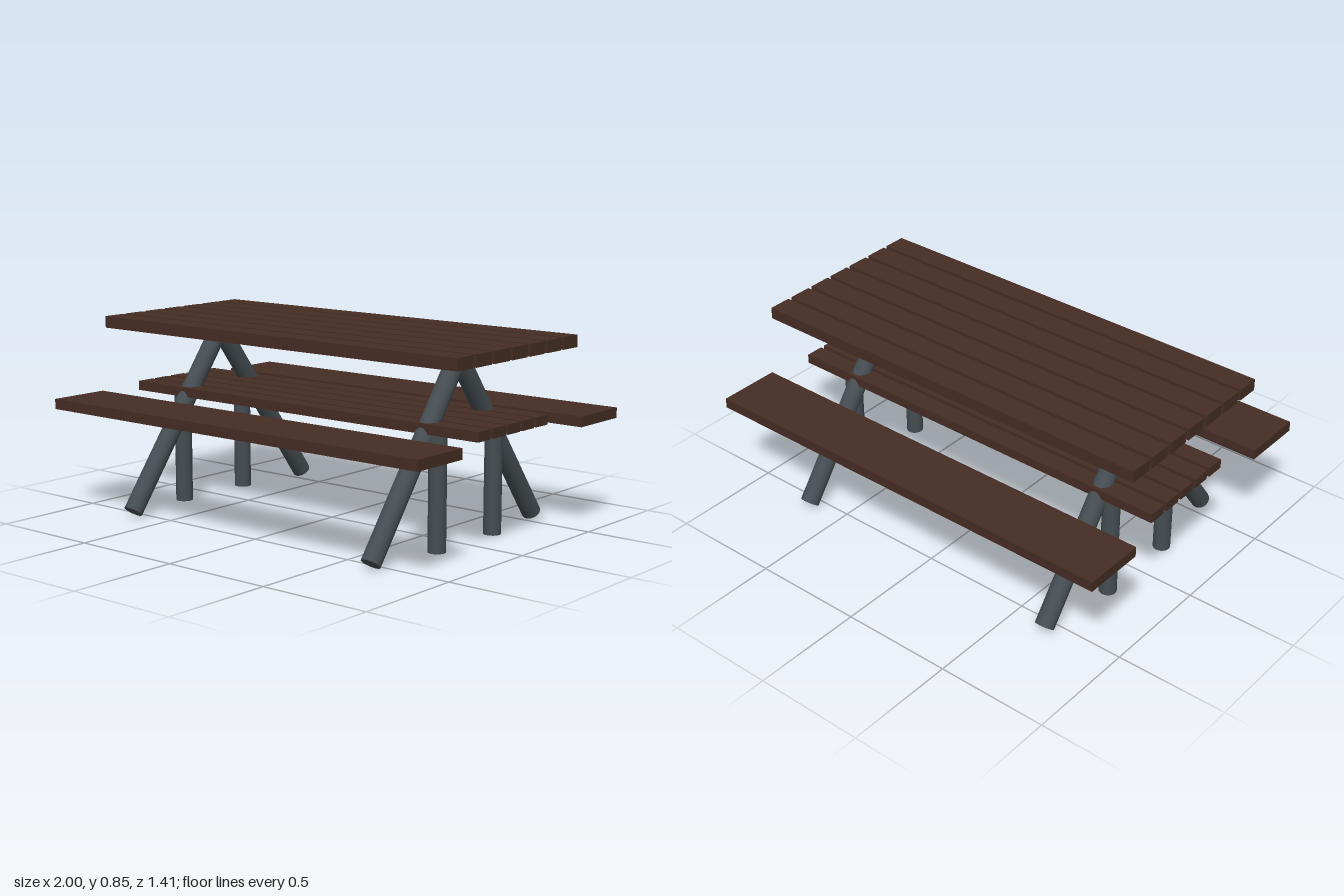
import * as THREE from 'three';

export function createModel() {
  const group = new THREE.Group();
  const wood = new THREE.MeshStandardMaterial({ color: 0x452d23 });
  wood.name = 'dark brown wood';
  const steel = new THREE.MeshStandardMaterial({ color: 0x454d52 });
  steel.name = 'grey metal';

  // Plank running along x
  function plank(name, length, height, depth, y, z) {
    const mesh = new THREE.Mesh(new THREE.BoxGeometry(length, height, depth), wood);
    mesh.name = name;
    mesh.position.set(0, y, z);
    group.add(mesh);
  }

  // Round post between two points
  function post(name, radius, from, to) {
    const axis = to.clone().sub(from);
    const mesh = new THREE.Mesh(new THREE.CylinderGeometry(radius, radius, axis.length(), 24), steel);
    mesh.name = name;
    mesh.position.copy(from).add(to).multiplyScalar(0.5);
    mesh.quaternion.setFromUnitVectors(new THREE.Vector3(0, 1, 0), axis.normalize());
    group.add(mesh);
  }

  // Table top slats
  for (let i = -3; i <= 3; i++) plank('tableSlat', 1.94, 0.052, 0.104, 0.826, i * 0.123);

  // Lower shelf slats
  for (let i = -2; i <= 2; i++) plank('shelfSlat', 1.895, 0.042, 0.083, 0.518, i * 0.102);

  for (const sz of [-1, 1]) {
    // Bench seats
    plank('benchSeat', 2, 0.045, 0.281, 0.488, sz * 0.5625);

    for (const sx of [-1, 1]) {
      // Slanted legs meeting under the table top
      post('slantedLeg', 0.042,
        new THREE.Vector3(sx * 0.668, 0.027, sz * 0.562),
        new THREE.Vector3(sx * 0.668, 0.783, 0));
      // Upright posts under the shelf
      post('uprightPost', 0.038,
        new THREE.Vector3(sx * 0.716, 0.008, sz * 0.195),
        new THREE.Vector3(sx * 0.716, 0.5, sz * 0.195));
    }
  }
  return group;
}
